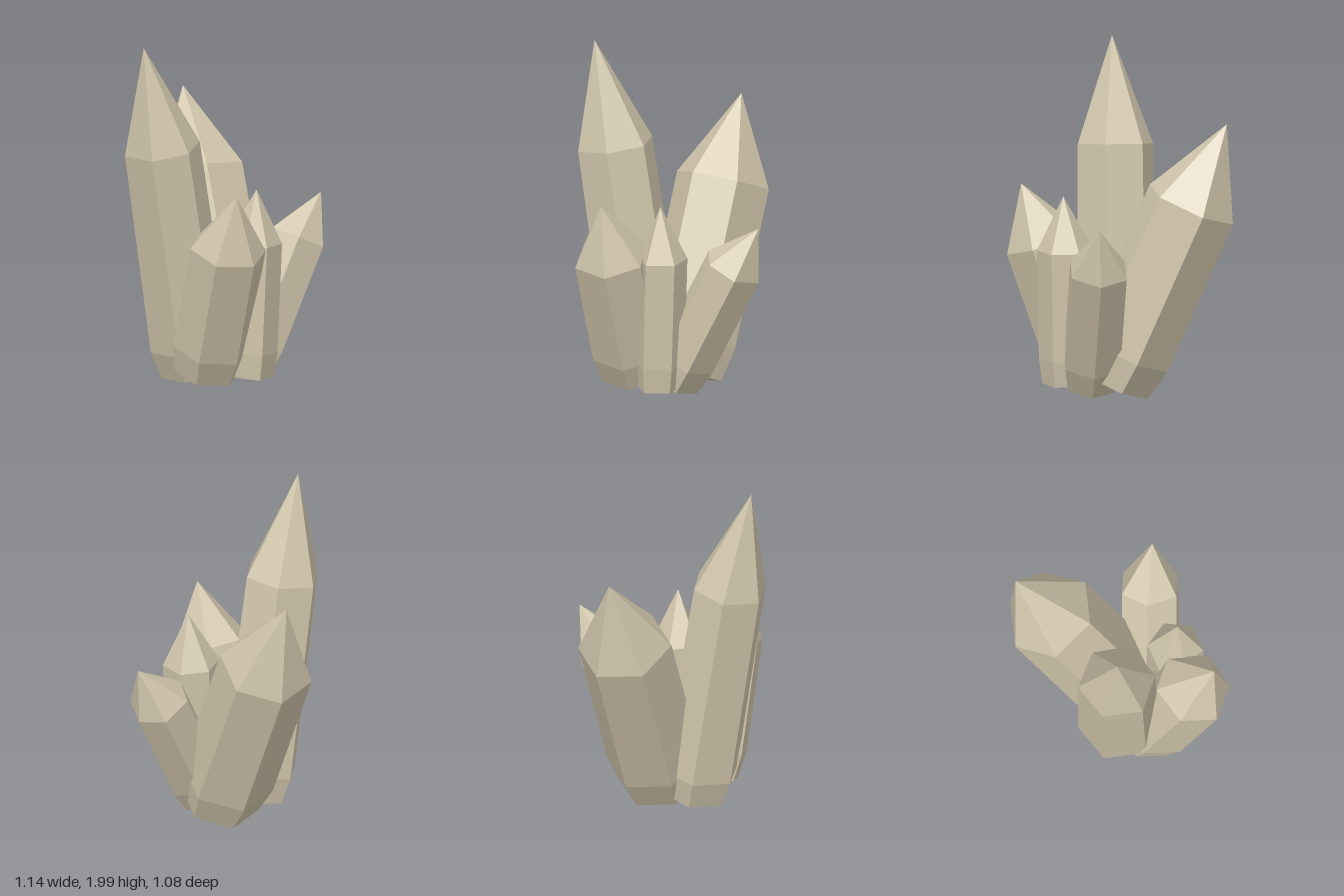
import * as THREE from 'three';

// Each crystal: shoulder outline [x, z] (anticlockwise from above), shoulder
// height, lean of the axis per unit of height, tip, and the drop from shoulder
// to the lower ring and to the base, with the ring scales there.
const CRYSTALS = [
  {
    name: 'tallFrontCrystal', tip: [-0.13, 2.0, 0.463], y: 1.395, lean: [-0.05, 0.15],
    ring: [[-0.32, 0.31], [-0.23, 0.51], [0, 0.54], [0.12, 0.36], [0.03, 0.16], [-0.19, 0.14]],
    drops: [1.165, 1.325], scales: [1.05, 0.87],
  },
  {
    name: 'largeBackCrystal', tip: [-0.52, 1.59, -0.33], y: 1.125, lean: [-0.4, -0.177],
    ring: [[-0.57, -0.135], [-0.375, 0.02], [-0.14, -0.1], [-0.1, -0.36], [-0.3, -0.515], [-0.53, -0.4]],
    drops: [0.855, 1.03], scales: [1, 0.85],
  },
  {
    name: 'frontLeftCrystal', tip: [0.47, 1.2, 0.35], y: 0.87, lean: [0.32, 0.13],
    ring: [[0.15, 0.28], [0.235, 0.48], [0.445, 0.5], [0.57, 0.315], [0.49, 0.12], [0.26, 0.11]],
    drops: [0.61, 0.76], scales: [1, 0.86],
  },
  {
    name: 'slimMiddleCrystal', tip: [0.34, 1.17, 0.025], y: 0.86, lean: [0.03, -0.03],
    ring: [[0.175, -0.02], [0.2, 0.14], [0.35, 0.14], [0.475, 0.09], [0.45, -0.07], [0.3, -0.125]],
    drops: [0.63, 0.775], scales: [1, 0.9],
  },
  {
    name: 'backLeftCrystal', tip: [0.34, 1.06, -0.537], y: 0.81, lean: [0.12, -0.48],
    ring: [[0.165, -0.515], [0.115, -0.36], [0.235, -0.24], [0.41, -0.265], [0.46, -0.415], [0.33, -0.537]],
    drops: [0.58, 0.72], scales: [1, 0.85],
  },
];

// Faceted crystal: base cap, bevel, leaning shaft and pointed tip.
function crystalGeometry({ ring, y, lean, tip, drops, scales }) {
  const n = ring.length;
  const cx = ring.reduce((s, p) => s + p[0], 0) / n;
  const cz = ring.reduce((s, p) => s + p[1], 0) / n;

  // Ring square to the axis, slid down along it and scaled
  const makeRing = (drop, scale) => ring.map(([x, z]) => {
    const dx = (x - cx) * scale, dz = (z - cz) * scale;
    return [
      cx - lean[0] * drop + dx,
      y - drop - lean[0] * dx - lean[1] * dz,
      cz - lean[1] * drop + dz,
    ];
  });
  const rings = [makeRing(drops[1], scales[1]), makeRing(drops[0], scales[0]), makeRing(0, 1)];
  const baseCentre = [cx - lean[0] * drops[1], y - drops[1], cz - lean[1] * drops[1]];

  const positions = [];
  const triangle = (a, b, c) => positions.push(...a, ...b, ...c);
  for (let i = 0; i < n; i++) {
    const j = (i + 1) % n;
    triangle(baseCentre, rings[0][j], rings[0][i]);
    for (let k = 0; k < 2; k++) {
      const low = rings[k], high = rings[k + 1];
      triangle(low[i], low[j], high[j]);
      triangle(low[i], high[j], high[i]);
    }
    triangle(rings[2][i], rings[2][j], tip);
  }
  const geometry = new THREE.BufferGeometry();
  geometry.setAttribute('position', new THREE.Float32BufferAttribute(positions, 3));
  geometry.computeVertexNormals(); // unshared corners give flat facets
  return geometry;
}

export function createModel() {
  const group = new THREE.Group();
  group.name = 'crystalCluster';
  const stone = new THREE.MeshStandardMaterial({ color: 0xcfc4aa });
  stone.name = 'paleStone';
  for (const spec of CRYSTALS) {
    const mesh = new THREE.Mesh(crystalGeometry(spec), stone);
    mesh.name = spec.name;
    group.add(mesh);
  }
  return group;
}
